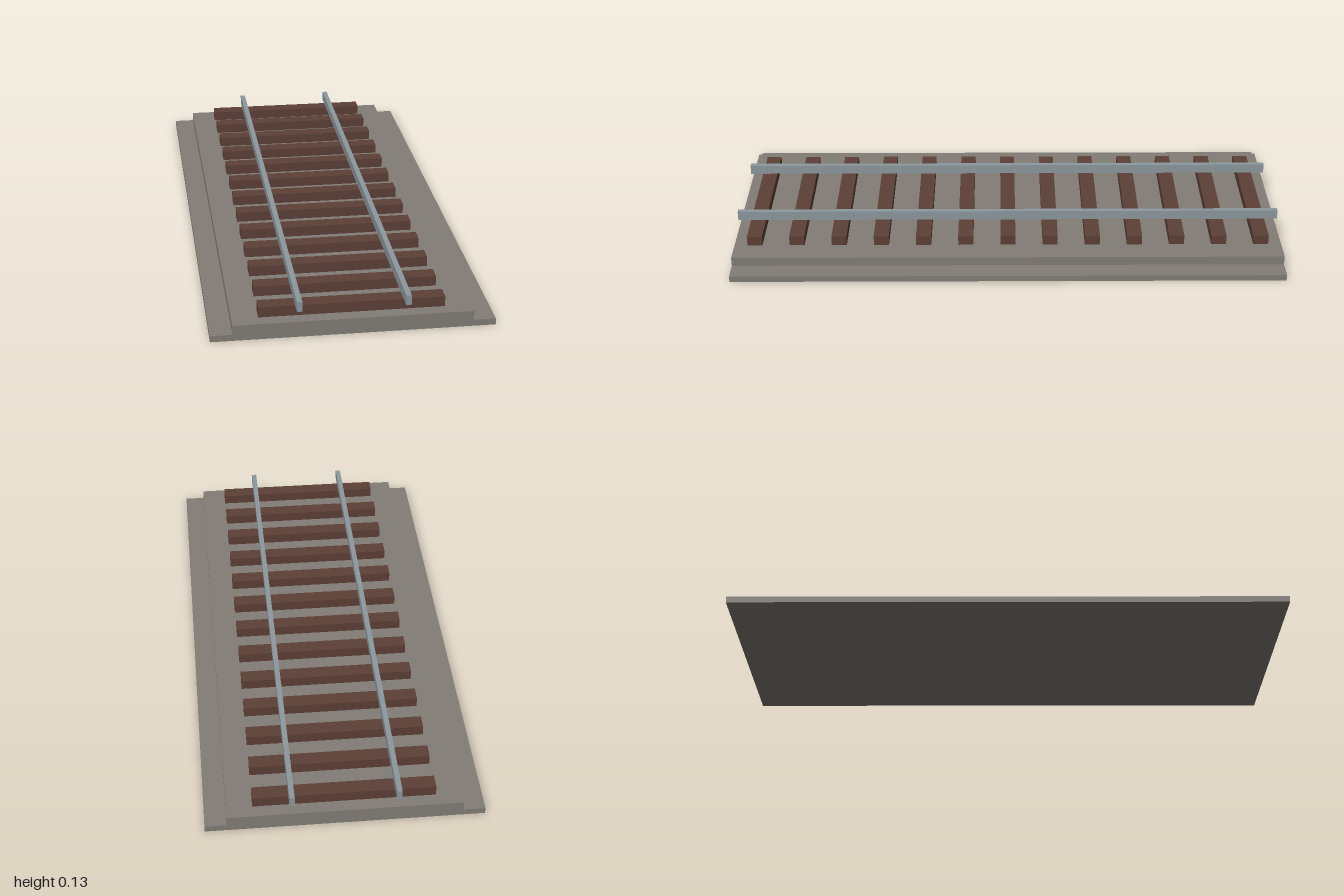
import * as THREE from 'three';

const LENGTH = 2;

function material(name, color) {
  const m = new THREE.MeshStandardMaterial({ color });
  m.name = name;
  return m;
}

export function createModel() {
  const gravel = material('gravel grey', 0x827e76);
  const wood = material('tie brown', 0x5d4037);
  const steel = material('rail steel', 0x8c999e);

  const group = new THREE.Group();
  group.name = 'railwayTrack';

  const add = (name, geometry, mat, x, y, z) => {
    const mesh = new THREE.Mesh(geometry, mat);
    mesh.name = name;
    mesh.position.set(x, y, z);
    group.add(mesh);
  };

  // Stepped ballast bed, one profile extruded along the track
  const profile = new THREE.Shape([
    [-0.474, 0], [0.474, 0], [0.474, 0.022], [0.4, 0.022],
    [0.4, 0.055], [-0.4, 0.055], [-0.4, 0.022], [-0.474, 0.022],
  ].map(([x, y]) => new THREE.Vector2(x, y)));
  const bed = new THREE.ExtrudeGeometry(profile, { depth: LENGTH, bevelEnabled: false });
  add('ballastBed', bed, gravel, 0, 0, -LENGTH / 2);

  // Evenly spaced wooden ties
  const tie = new THREE.BoxGeometry(0.622, 0.036, 0.055);
  const count = 13;
  const spacing = 0.1542;
  for (let i = 0; i < count; i++) {
    add(`tie${i + 1}`, tie, wood, 0, 0.073, (i - (count - 1) / 2) * spacing);
  }

  // Pair of rails resting on the ties
  const rail = new THREE.BoxGeometry(0.018, 0.035, LENGTH);
  add('leftRail', rail, steel, 0.18, 0.1085, 0);
  add('rightRail', rail, steel, -0.18, 0.1085, 0);

  return group;
}
